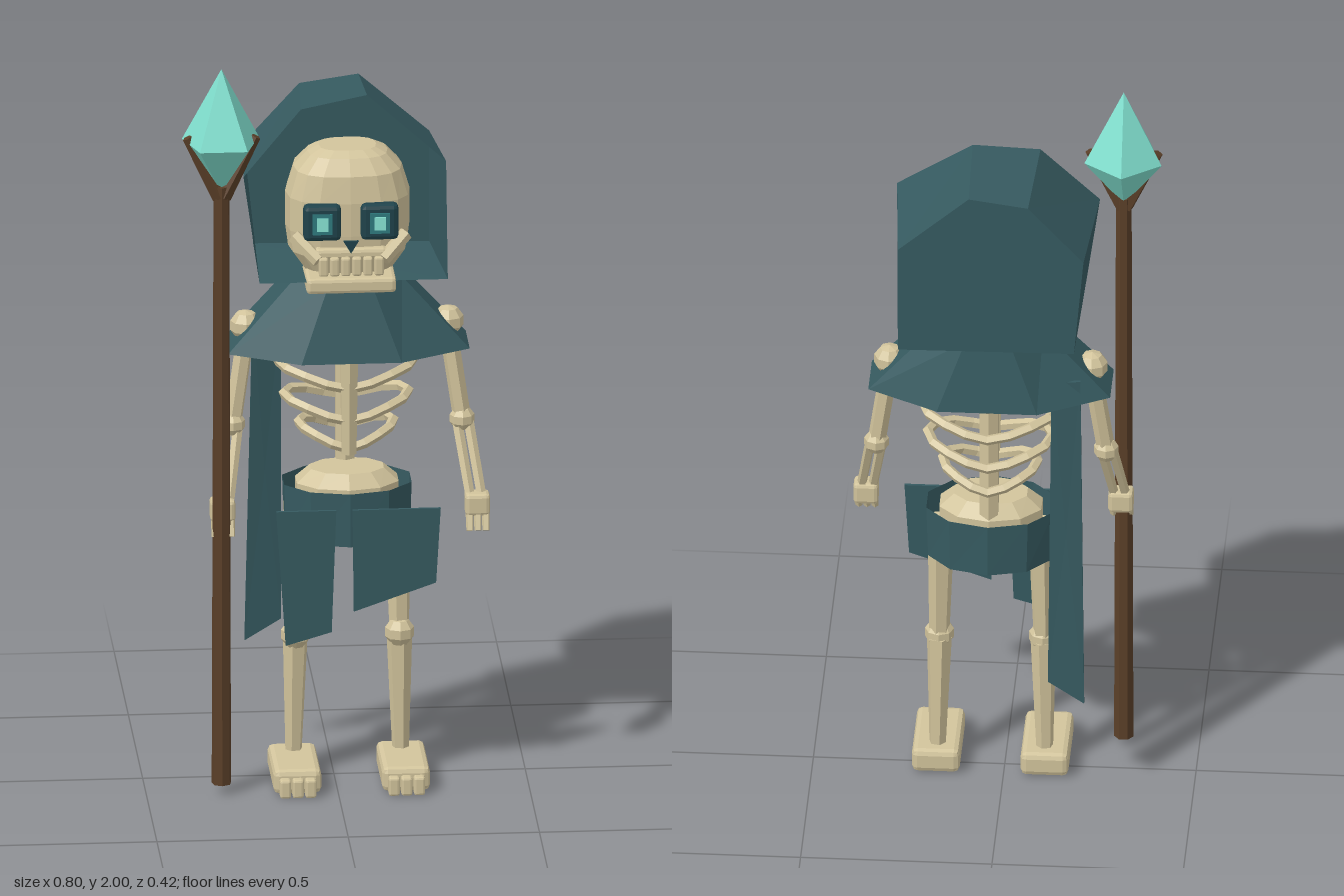
import * as THREE from 'three';
import { RoundedBoxGeometry } from 'three/addons/geometries/RoundedBoxGeometry.js';

const mat = (name, color, side = THREE.FrontSide) =>
  new THREE.MeshStandardMaterial({ name, color, side, flatShading: true });

export function createModel() {
  const bone = mat('bone', 0xd2c49c);
  const cloth = mat('teal cloth', 0x365a60, THREE.DoubleSide);
  const wood = mat('wood', 0x5a3f28);
  const crystal = mat('crystal', 0x80dfce);
  const socketDark = mat('eye socket', 0x1f434b);
  const iris = mat('eye glow', 0x2f7c80);
  const pupil = mat('eye core', 0x8ff0e0);

  const model = new THREE.Group();
  model.name = 'skeletonMage';
  const CX = 0.035; // body centre line
  const V = (x, y, z) => new THREE.Vector3(x, y, z);

  function add(name, geo, material, x = 0, y = 0, z = 0) {
    const m = new THREE.Mesh(geo, material);
    m.name = name;
    m.position.set(x, y, z);
    model.add(m);
    return m;
  }
  // Tapered rod from a to b
  function rod(name, a, b, ra, rb, material = bone, sides = 6) {
    const d = b.clone().sub(a);
    const m = add(name, new THREE.CylinderGeometry(rb, ra, d.length(), sides), material);
    m.position.copy(a).addScaledVector(d, 0.5);
    m.quaternion.setFromUnitVectors(V(0, 1, 0), d.normalize());
    return m;
  }
  const ball = (name, x, y, z, r) => add(name, new THREE.SphereGeometry(r, 8, 5), bone, x, y, z);
  const block = (name, w, h, d, x, y, z, material = bone, bevel = 0.01) =>
    add(name, new RoundedBoxGeometry(w, h, d, 1, bevel), material, x, y, z);

  // Skin through equal-length loops of [x, y, z], with optional end caps
  function loft(loops, capStart, capEnd) {
    const pos = [];
    const n = loops[0].length;
    const tri = (...p) => p.forEach((q) => pos.push(...q));
    const cap = (loop, flip) => {
      const c = [0, 1, 2].map((k) => loop.reduce((s, p) => s + p[k], 0) / n);
      loop.forEach((p, j) => {
        const q = loop[(j + 1) % n];
        if (flip) tri(c, q, p); else tri(c, p, q);
      });
    };
    for (let i = 0; i + 1 < loops.length; i++) {
      for (let j = 0; j < n; j++) {
        const k = (j + 1) % n;
        tri(loops[i][j], loops[i][k], loops[i + 1][k]);
        tri(loops[i][j], loops[i + 1][k], loops[i + 1][j]);
      }
    }
    if (capStart) cap(loops[0], true);
    if (capEnd) cap(loops[loops.length - 1], false);
    const g = new THREE.BufferGeometry();
    g.setAttribute('position', new THREE.Float32BufferAttribute(pos, 3));
    g.computeVertexNormals();
    return g;
  }
  // Horizontal superellipse loop
  function ring(y, rx, rz, cz, sides, power = 2, turn = 0) {
    const e = (v) => Math.sign(v) * Math.abs(v) ** (2 / power);
    return Array.from({ length: sides }, (_, i) => {
      const t = ((i + turn) / sides) * Math.PI * 2;
      return [CX + rx * e(Math.sin(t)), y, cz + rz * e(Math.cos(t))];
    });
  }

  // Hood: lopsided six-sided shell, open at the front
  const hoodFront = [[-0.205, 1.415, 0.145], [-0.243, 1.69, 0.088], [-0.09, 1.86, 0.05],
    [0.085, 1.885, 0.02], [0.287, 1.72, 0.085], [0.287, 1.415, 0.145]];
  const hoodBack = [[-0.195, 1.4, -0.215], [-0.22, 1.68, -0.215], [-0.075, 1.84, -0.215],
    [0.08, 1.862, -0.215], [0.265, 1.7, -0.215], [0.265, 1.395, -0.215]];
  add('hood', loft([hoodFront, hoodBack], false, true), cloth);

  // Skull
  const skullRows = [[1.42, 0.12, 0.1], [1.47, 0.155, 0.118], [1.53, 0.163, 0.122],
    [1.62, 0.163, 0.122], [1.69, 0.142, 0.11], [1.73, 0.105, 0.08], [1.745, 0.075, 0.055]];
  add('skull', loft(skullRows.map(([y, rx, rz]) => ring(y, rx, rz, 0, 16, 2.7)), true, true), bone);
  block('jaw', 0.235, 0.042, 0.15, CX, 1.402, 0.075);
  block('upperJaw', 0.19, 0.03, 0.05, CX, 1.485, 0.11);
  for (let i = 0; i < 6; i++)
    block('tooth', 0.024, 0.05, 0.024, CX + (i - 2.5) * 0.029, 1.455, 0.138, bone, 0.005);
  for (const s of [-1, 1]) {
    rod('cheekbone', V(CX + s * 0.145, 1.525, 0.09), V(CX + s * 0.085, 1.47, 0.135), 0.02, 0.018);
    const ex = CX + s * 0.075;
    block('eyeSocket', 0.098, 0.098, 0.04, ex, 1.573, 0.122, socketDark, 0.012);
    add('eyeGlow', new THREE.BoxGeometry(0.052, 0.056, 0.006), iris, ex, 1.573, 0.143);
    add('eyeCore', new THREE.BoxGeometry(0.03, 0.036, 0.006), pupil, ex, 1.573, 0.146);
  }
  const nose = new THREE.Shape([new THREE.Vector2(-0.02, 0.014),
    new THREE.Vector2(0, -0.02), new THREE.Vector2(0.02, 0.014)]);
  add('noseHole', new THREE.ExtrudeGeometry(nose, { depth: 0.008, bevelEnabled: false }),
    socketDark, CX, 1.508, 0.127);

  // Shoulder cape: open eight-sided cone
  add('shoulderCape', loft([ring(1.19, 0.342, 0.184, -0.015, 8, 2, 0.5),
    ring(1.385, 0.152, 0.137, -0.025, 8, 2, 0.5)], false, false), cloth);
  rod('neck', V(CX, 1.2, -0.03), V(CX, 1.43, -0.01), 0.045, 0.045);

  // Rib cage
  rod('spine', V(CX, 0.8, -0.085), V(CX, 1.3, -0.085), 0.028, 0.028);
  rod('breastbone', V(CX, 0.91, 0.055), V(CX, 1.25, 0.065), 0.022, 0.027);
  [[1.185, 0.175], [1.09, 0.18], [1.0, 0.165], [0.92, 0.125]].forEach(([y, w]) => {
    const depth = 0.06 + w * 0.28;
    const pts = Array.from({ length: 10 }, (_, i) => {
      const t = (i / 10) * Math.PI * 2;
      return V(CX + w * Math.sin(t), y + 0.045 * Math.abs(Math.sin(t)), -0.045 + depth * Math.cos(t));
    });
    const path = new THREE.CatmullRomCurve3(pts, true);
    add('rib', new THREE.TubeGeometry(path, 16, 0.014, 5, true), bone);
  });

  // Pelvis and waist cloth
  add('pelvis', loft([ring(0.74, 0.14, 0.1, -0.015, 10), ring(0.815, 0.14, 0.1, -0.015, 10),
    ring(0.85, 0.1, 0.07, -0.015, 10)], true, true), bone);
  add('waistCloth', loft([ring(0.67, 0.17, 0.132, -0.015, 10),
    ring(0.815, 0.175, 0.13, -0.015, 10)], false, false), cloth);

  // Torn hanging cloth strips
  const panel = (name, pts, z) => {
    const shape = new THREE.Shape(pts.map(([x, y]) => new THREE.Vector2(x, y)));
    return add(name, new THREE.ExtrudeGeometry(shape, { depth: 0.008, bevelEnabled: false }), cloth, 0, 0, z);
  };
  panel('frontStripRight', [[-0.16, 0.775], [-0.135, 0.405], [-0.015, 0.44], [-0.003, 0.775]], 0.117);
  panel('frontStripLeft', [[0.04, 0.775], [0.043, 0.495], [0.258, 0.57], [0.27, 0.775]], 0.117);
  const tail = (dz) => [[-0.22, 0.315, -0.19 + dz], [-0.125, 0.375, -0.185 + dz],
    [-0.13, 1.25, -0.12 + dz], [-0.205, 1.25, -0.11 + dz]];
  add('backStrip', loft([tail(0.008), tail(0)], true, true), cloth);

  for (const s of [-1, 1]) {
    const at = (dx, y, z) => V(CX + s * dx, y, z);
    // Arm: one upper bone, two forearm bones, hand with fingers
    ball('shoulder', CX + s * 0.265, 1.245, -0.018, 0.042);
    rod('upperArm', at(0.262, 1.24, -0.015), at(0.3, 0.98, 0), 0.024, 0.024);
    ball('elbow', CX + s * 0.3, 0.98, 0, 0.034);
    for (const o of [-0.015, 0.015])
      rod('forearm', at(0.302 + o, 0.97, 0.005), at(0.33 + o, 0.79, 0.085), 0.014, 0.013, bone, 5);
    const hx = CX + s * 0.333;
    block('hand', 0.065, 0.06, 0.055, hx, 0.775, 0.088);
    for (let i = -1; i <= 1; i++)
      rod('finger', V(hx + i * 0.021, 0.76, 0.1), V(hx + i * 0.021, 0.71, 0.122), 0.011, 0.01, bone, 5);

    // Leg
    rod('thigh', at(0.13, 0.76, -0.015), at(0.136, 0.4, 0), 0.036, 0.027);
    ball('knee', CX + s * 0.136, 0.397, 0.008, 0.04);
    rod('shin', at(0.136, 0.39, 0), at(0.14, 0.06, -0.01), 0.034, 0.022);
    const fx = CX + s * 0.142;
    block('foot', 0.125, 0.066, 0.232, fx, 0.041, 0.052, bone, 0.015);
    for (let i = -1; i <= 1; i++)
      block('toe', 0.029, 0.05, 0.05, fx + i * 0.033, 0.03, 0.167, bone, 0.006);
  }

  // Staff with two prongs holding a crystal
  const SX = -0.303;
  const SZ = 0.123;
  rod('staffShaft', V(SX, 0.03, SZ), V(SX, 1.68, SZ), 0.026, 0.021, wood, 7);
  for (const s of [-1, 1])
    rod('staffProng', V(SX + s * 0.005, 1.65, SZ), V(SX + s * 0.09, 1.815, SZ), 0.021, 0.013, wood, 5);
  const gem = [[1.665, 0.004], [1.8, 0.106], [2, 0.0005]].map(([y, r]) =>
    Array.from({ length: 5 }, (_, i) => {
      const t = Math.PI + (i / 5) * Math.PI * 2;
      return [SX + r * Math.sin(t), y, SZ - 0.005 + r * Math.cos(t)];
    }));
  add('staffCrystal', loft(gem, true, true), crystal);

  return model;
}
